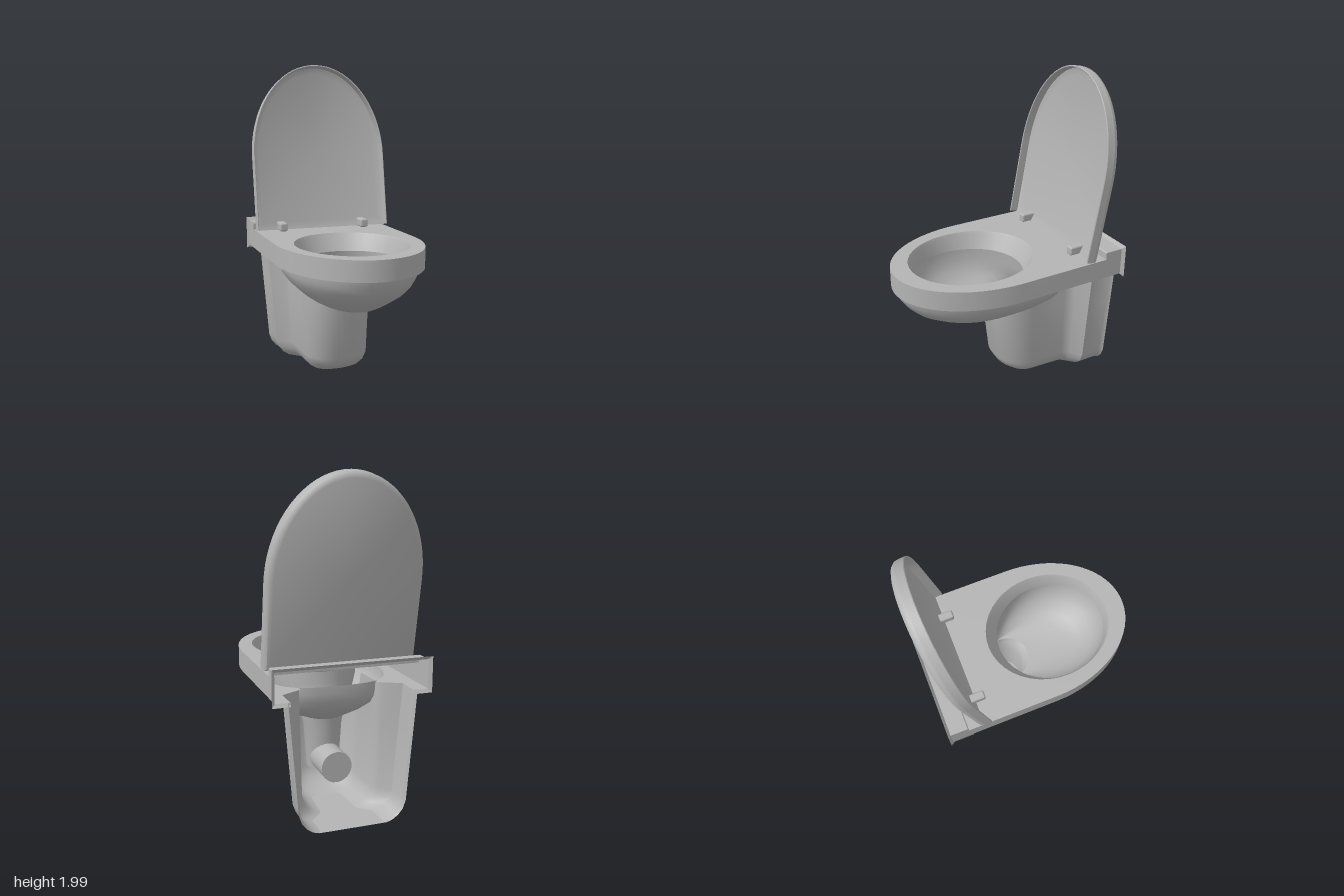
import * as THREE from 'three';
import { toCreasedNormals } from 'three/addons/utils/BufferGeometryUtils.js';
import { RoundedBoxGeometry } from 'three/addons/geometries/RoundedBoxGeometry.js';

const ceramic = new THREE.MeshStandardMaterial({ color: 0xb4b4b4, side: THREE.DoubleSide });
ceramic.name = 'grey ceramic';

function add(parent, name, geometry) {
  const mesh = new THREE.Mesh(geometry, ceramic);
  mesh.name = name;
  parent.add(mesh);
  return mesh;
}

// Skin a surface over rows of [x, y, z] points
function loft(rows, closed = false, crease = 0.6) {
  const n = rows[0].length, index = [];
  for (let r = 0; r < rows.length - 1; r++) {
    for (let i = 0; i < (closed ? n : n - 1); i++) {
      const a = r * n + i, b = r * n + (i + 1) % n;
      index.push(a, b, a + n, b, b + n, a + n);
    }
  }
  const g = new THREE.BufferGeometry();
  g.setAttribute('position', new THREE.Float32BufferAttribute(rows.flat(2), 3));
  g.setIndex(index);
  return toCreasedNormals(g, crease);
}

// Level oval: height, half width, back z, front z, and squareness of the back half (1 = round)
function oval([y, a, back, front, power = 1], n = 40) {
  return Array.from({ length: n }, (_, i) => {
    const t = (i / n) * Math.PI * 2, c = Math.cos(t), s = Math.sin(t);
    const p = s < 0 ? power : 1;
    return [a * Math.sign(c) * Math.abs(c) ** p, y,
      (back + front) / 2 + (front - back) / 2 * Math.sign(s) * Math.abs(s) ** p];
  });
}

// Arch outline: straight sides from base to spring, then half an ellipse up to tip
function arch(a, base, spring, tip, n = 36) {
  const pts = [[a, base]];
  for (let i = 0; i <= n; i++) {
    const t = (i / n) * Math.PI;
    pts.push([a * Math.cos(t), spring + (tip - spring) * Math.sin(t)]);
  }
  pts.push([-a, base]);
  return pts;
}

const toShape = pts => new THREE.Shape(pts.map(p => new THREE.Vector2(p[0], p[1])));
const flat = (shape, y) => new THREE.ShapeGeometry(shape).rotateX(Math.PI / 2).translate(0, y, 0);

const BACK = -0.655, STEP = -0.54, TOP = 0.91, UNDER = 0.785, STEP_TOP = 0.957;
const HOLE = [TOP, 0.35, -0.24, 0.56];
const BOWL_EDGE = [UNDER, 0.39, -0.44, 0.655, 0.6];

function makeRim() {
  const g = new THREE.Group();
  g.name = 'rim';
  const outline = y => arch(0.452, BACK, 0.05, 0.674).map(([x, z]) => [x, y, z]);
  add(g, 'rimSide', loft([outline(UNDER), outline(TOP)]));

  // top deck with the bowl opening
  const deck = toShape(arch(0.452, STEP, 0.05, 0.674));
  deck.holes.push(new THREE.Path(oval(HOLE).map(p => new THREE.Vector2(p[0], p[2]))));
  add(g, 'rimTop', flat(deck, TOP));

  // underside, cut away around the bowl and above the pedestal
  const edge = oval(BOWL_EDGE);
  const around = [...edge.slice(30), ...edge.slice(0, 30)].reverse()
    .filter(([x, , z]) => Math.abs(x) > 0.24 || z > 0).map(([x, , z]) => [x, z]);
  add(g, 'rimUnderside', flat(toShape([...arch(0.452, BACK, 0.05, 0.674),
    [-0.365, BACK], [-0.365, -0.51], [-0.235, -0.44], ...around,
    [0.235, -0.44], [0.365, -0.51], [0.365, BACK]]), UNDER));

  // raised step against the wall
  const across = (y, z) => [[-0.452, y, z], [0.452, y, z]];
  add(g, 'backStep', loft([across(TOP, STEP), across(STEP_TOP - 0.006, STEP),
    across(STEP_TOP, STEP - 0.006), across(STEP_TOP, BACK)]));
  for (const s of [-1, 1]) {
    add(g, 'backStepSide', loft([
      [[s * 0.452, TOP, STEP], [s * 0.452, TOP, BACK]],
      [[s * 0.452, STEP_TOP, STEP], [s * 0.452, STEP_TOP, BACK]]]));
  }

  // flared lip around the open back
  const lip = (o, z) => [[0.365, UNDER - o, z], [0.452 + o, UNDER - o, z], [0.452 + o, STEP_TOP + o, z],
    [-0.452 - o, STEP_TOP + o, z], [-0.452 - o, UNDER - o, z], [-0.365, UNDER - o, z]];
  add(g, 'backLip', loft([lip(0, BACK), lip(0.02, -0.672)]));
  return g;
}

function makeBowl() {
  const g = new THREE.Group();
  g.name = 'bowl';
  add(g, 'bowlOutside', loft([
    BOWL_EDGE, [0.74, 0.387, -0.44, 0.642, 0.6], [0.69, 0.365, -0.432, 0.61, 0.6],
    [0.64, 0.325, -0.405, 0.56, 0.6], [0.59, 0.27, -0.35, 0.475, 0.65],
    [0.555, 0.22, -0.3, 0.41, 0.75], [0.53, 0.175, -0.27, 0.355], [0.53, 0.14, -0.26, 0.02],
  ].map(r => oval(r)), true));
  add(g, 'bowlThroat', loft([HOLE, [0.895, 0.342, -0.23, 0.553], [0.8, 0.32, -0.17, 0.535]]
    .map(r => oval(r)), true));
  add(g, 'bowlInside', loft([
    [0.8, 0.32, -0.17, 0.535], [0.73, 0.312, -0.18, 0.515], [0.66, 0.28, -0.19, 0.46],
    [0.61, 0.23, -0.215, 0.38], [0.58, 0.18, -0.24, 0.28], [0.56, 0.14, -0.26, 0.02],
  ].map(r => oval(r)), true, 0.9));
  // drain sump and the outlet pipe behind it
  add(g, 'sump', loft([
    [0.56, 0.14, -0.26, 0.02], [0.53, 0.135, -0.255, -0.015], [0.48, 0.12, -0.25, -0.035],
    [0.2, 0.1, -0.24, -0.05], [0.2, 0, -0.14, -0.14],
  ].map(r => oval(r)), true));
  const pipe = add(g, 'outletPipe', new THREE.CylinderGeometry(0.095, 0.095, 0.26, 24));
  pipe.rotation.x = Math.PI / 2;
  pipe.position.set(0, 0.27, -0.27);
  return g;
}

function makePedestal() {
  const g = new THREE.Group();
  g.name = 'pedestal';
  // Plan at height y: rounded nose, side, flared panel, back band and lip
  const plan = (y, inset) => {
    const nose = -0.016 + 0.125 * Math.min(y, 0.56) - 1.55 * inset;
    const w = 0.207 + 0.025 * y - inset, wide = 0.3 + 0.085 * y - inset;
    const noseBack = -0.21 - 0.2 * inset;
    const half = [];
    for (let i = 0; i <= 12; i++) {
      const t = (i / 12) * Math.PI / 2;
      half.push([w * Math.sin(t) ** 0.85, noseBack + (nose - noseBack) * Math.cos(t) ** 0.85]);
    }
    half[12][1] = noseBack;
    half.push([w + 0.01, -0.4], [w + 0.018, -0.432], [w + 0.036, -0.455], [wide, -0.51],
      [wide, BACK], [wide + 0.014, -0.672]);
    const full = [...half.slice(1).reverse().map(([x, z]) => [-x, z]), ...half];
    // the nose stops inside the wall of the bowl
    return full.map(([x, z]) =>
      [x, z > -0.2 ? Math.min(y, 0.545 + 0.15 * Math.abs(x)) : y, z]);
  };
  const levels = [[0.01, 0.11], [0.02, 0.075], [0.045, 0.04], [0.08, 0.014], [0.13, 0], [0.53, 0], [UNDER, 0]];
  add(g, 'pedestalShell', loft(levels.map(([y, i]) => plan(y, i)), false, 0.7));
  const foot = plan(0.01, 0.11);
  add(g, 'pedestalFloor', loft([foot, foot.map(([, y, z]) => [0, y, z])]));
  return g;
}

function makeLid() {
  const g = new THREE.Group();
  g.name = 'lid';
  const LEN = 1.097, SPRING = 0.49;
  const ring = (inset, z, base = inset) =>
    arch(0.457 - inset, base, SPRING, LEN - inset).map(([x, y]) => [x, y, z]);
  const centre = z => ring(0, z).map(() => [0, SPRING, z]);
  // shallow dished panel with a rounded back
  add(g, 'lidPanel', loft([centre(-0.072), ring(0.05, -0.068), ring(0.022, -0.058), ring(0, -0.05),
    ring(0.003, -0.066), ring(0.014, -0.08), ring(0.032, -0.088), centre(-0.09)], true));
  add(g, 'lidEdge', loft([ring(0.012, -0.056, 0), ring(0.01, -0.003, 0), ring(0.007, 0, 0),
    ring(0.003, 0, 0), ring(0, -0.004, 0), ring(0, -0.05, 0)]));
  g.position.set(0, 0.925, -0.39);
  g.rotation.x = -0.175;
  return g;
}

export function createModel() {
  const model = new THREE.Group();
  model.name = 'toilet';
  model.add(makeRim(), makeBowl(), makePedestal(), makeLid());
  for (const s of [-1, 1]) {
    const hinge = add(model, 'hinge', new RoundedBoxGeometry(0.052, 0.056, 0.105, 3, 0.012));
    hinge.position.set(s * 0.283, 0.94, -0.427);
  }
  return model;
}
